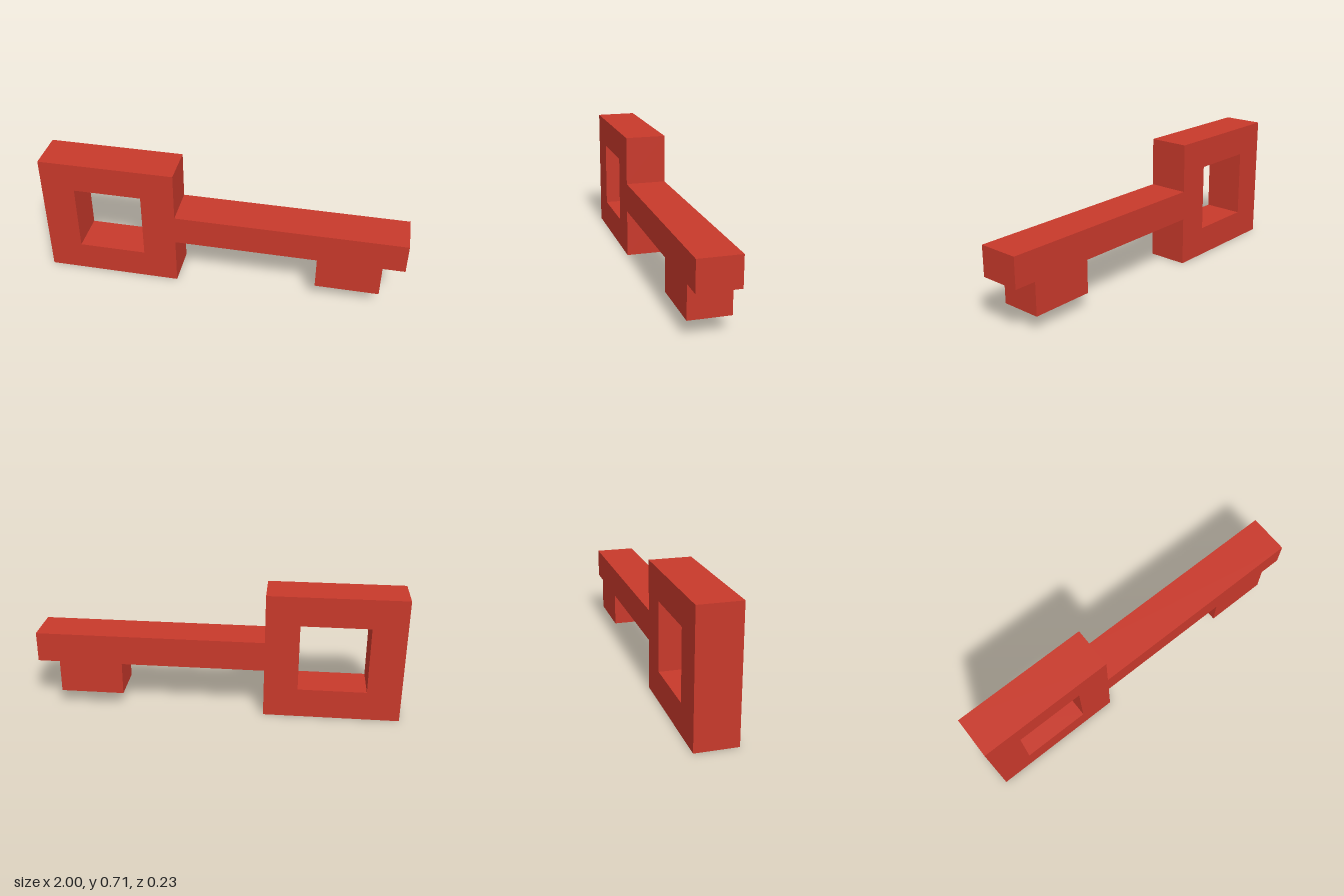
import * as THREE from 'three';

const DEPTH = 0.226;

export function createModel() {
  const group = new THREE.Group();
  group.name = 'key';

  const red = new THREE.MeshStandardMaterial({ color: 0xc8392b });
  red.name = 'red';

  const toPoints = (list) => list.map(([x, y]) => new THREE.Vector2(x, y));

  // Outline: square bow, shaft and one bit near the tip
  const outline = new THREE.Shape(toPoints([
    [-1, 0], [-0.255, 0], [-0.255, 0.271], [0.53, 0.271], [0.53, 0.089],
    [0.88, 0.089], [0.88, 0.271], [1, 0.271], [1, 0.436],
    [-0.255, 0.436], [-0.255, 0.706], [-1, 0.706],
  ]));

  // Square opening in the bow
  outline.holes.push(new THREE.Path(toPoints([
    [-0.814, 0.166], [-0.814, 0.542], [-0.44, 0.542], [-0.44, 0.166],
  ])));

  const geometry = new THREE.ExtrudeGeometry(outline, { depth: DEPTH, bevelEnabled: false });
  geometry.translate(0, 0, -DEPTH / 2);

  const body = new THREE.Mesh(geometry, red);
  body.name = 'keyBody';
  group.add(body);
  return group;
}
